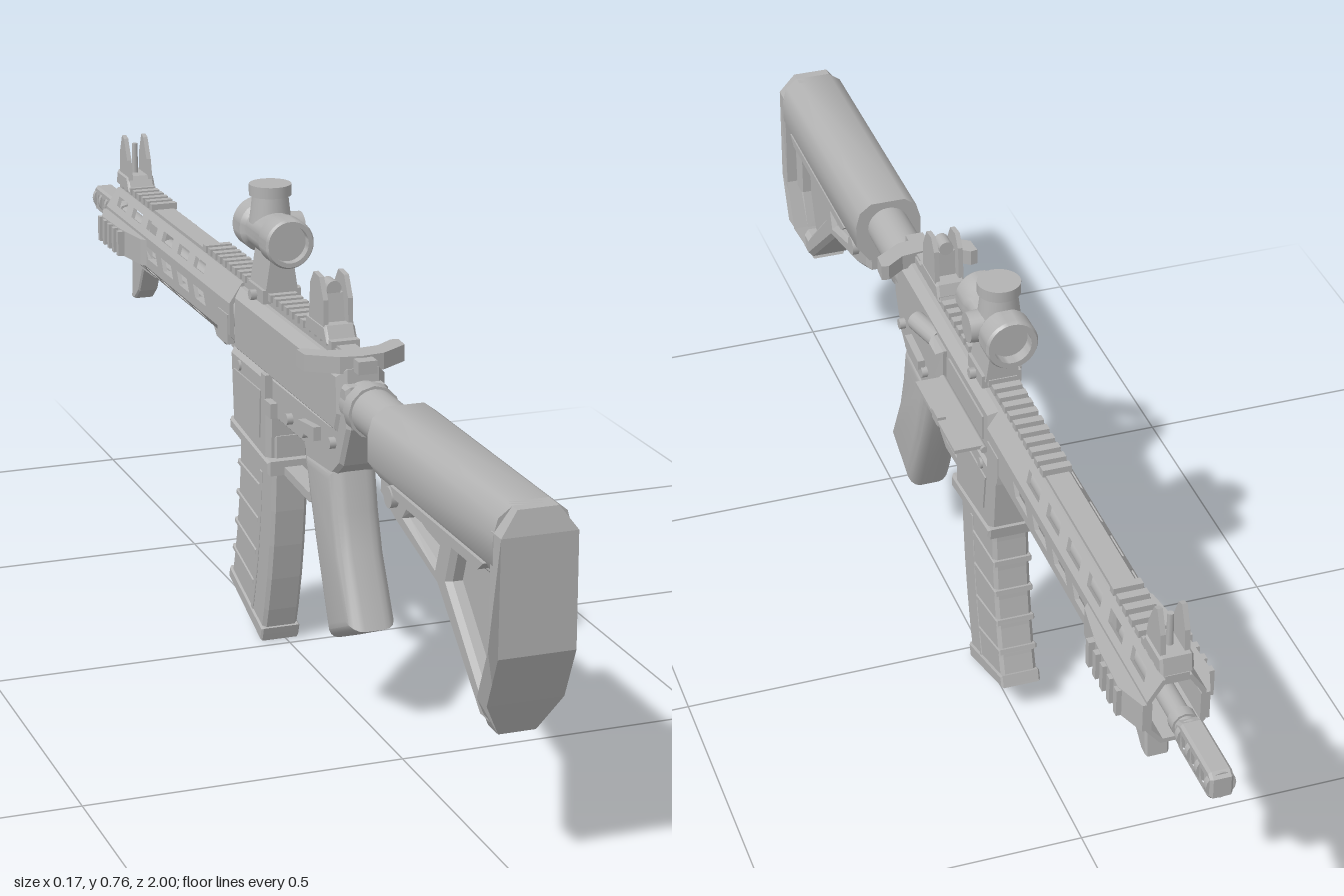
import * as THREE from 'three';
import { toCreasedNormals } from 'three/addons/utils/BufferGeometryUtils.js';

const gunGrey = new THREE.MeshStandardMaterial({ color: 0xb2b2b2 });
gunGrey.name = 'gunGrey';

const V = (p) => p.map(([a, b]) => new THREE.Vector2(a, b));
const lerp = (a, b, t) => [a[0] + (b[0] - a[0]) * t, a[1] + (b[1] - a[1]) * t];

export function createModel() {
  const root = new THREE.Group();
  root.name = 'carbine';
  const body = new THREE.Group();
  body.name = 'body';
  body.position.x = -0.01;
  root.add(body);

  const add = (name, geo, x = 0, y = 0, z = 0) => {
    const m = new THREE.Mesh(geo, gunGrey);
    m.name = name;
    m.position.set(x, y, z);
    body.add(m);
    return m;
  };
  const box = (name, w, h, d, x, y, z) => add(name, new THREE.BoxGeometry(w, h, d), x, y, z);
  const rod = (name, r1, r2, len, axis, x, y, z, sides = 20) => {
    const g = new THREE.CylinderGeometry(r1, r2, len, sides);
    if (axis === 'z') g.rotateX(Math.PI / 2);
    if (axis === 'x') g.rotateZ(-Math.PI / 2);
    return add(name, g, x, y, z);
  };
  // Side outline given as [z, y] points, extruded to a width across x
  const profile = (name, pts, width, { bevel = 0, segs = 1, holes = [], x = 0 } = {}) => {
    const s = new THREE.Shape(V(pts));
    holes.forEach((h) => s.holes.push(new THREE.Path(V(h))));
    const depth = width - 2 * bevel;
    let g = new THREE.ExtrudeGeometry(s, {
      depth, bevelEnabled: bevel > 0, bevelThickness: bevel, bevelSize: bevel, bevelOffset: -bevel, bevelSegments: segs,
    });
    g.translate(0, 0, -depth / 2);
    g.rotateY(-Math.PI / 2);
    if (segs > 1) g = toCreasedNormals(g, 0.6);
    return add(name, g, x);
  };
  // Cross-section given as [x, y] points, extruded from z0 to z1
  const section = (name, pts, z0, z1) => {
    const g = new THREE.ExtrudeGeometry(new THREE.Shape(V(pts)), { depth: z1 - z0, bevelEnabled: false });
    g.translate(0, 0, z0);
    return add(name, toCreasedNormals(g, 0.8));
  };
  // Plan outline given as [x, z] points, extruded down from a top height
  const plan = (name, pts, top, height) => {
    const g = new THREE.ExtrudeGeometry(new THREE.Shape(V(pts)), { depth: height, bevelEnabled: false });
    g.rotateX(Math.PI / 2);
    return add(name, g, 0, top, 0);
  };

  // Stock: cheek piece, skeleton strut with recessed web, and butt pad
  section('stockCheek', [[-0.03, 0.565], [-0.05, 0.55], [-0.057, 0.525], [-0.057, 0.485], [-0.035, 0.455],
    [0.035, 0.455], [0.057, 0.485], [0.057, 0.525], [0.05, 0.55], [0.03, 0.565]], 0.517, 0.975);
  profile('stockSkeleton', [[0.975, 0.5], [0.517, 0.5], [0.517, 0.435], [0.58, 0.41], [0.74, 0.37], [0.9, 0.235], [0.935, 0.235], [0.972, 0.33]],
    0.078, { bevel: 0.008, holes: [[[0.955, 0.45], [0.8, 0.445], [0.78, 0.39], [0.905, 0.275], [0.93, 0.275], [0.955, 0.34]],
      [[0.75, 0.45], [0.64, 0.45], [0.62, 0.43], [0.73, 0.4]]] });
  profile('stockWeb', [[0.96, 0.46], [0.6, 0.46], [0.75, 0.385], [0.905, 0.26], [0.935, 0.26], [0.96, 0.34]], 0.032);
  profile('stockLatch', [[0.8, 0.45], [0.57, 0.475], [0.56, 0.445], [0.66, 0.42], [0.78, 0.405]], 0.045, { bevel: 0.005 });
  rod('slingSocket', 0.016, 0.016, 0.1, 'x', 0, 0.45, 0.58);
  for (const s of [-1, 1]) {
    profile('stockRib', [[0.94, 0.475], [0.6, 0.475], [0.62, 0.46], [0.92, 0.46]], 0.02, { x: s * 0.045 });
  }
  const padRows = [[0.565, 0.992, 0.03], [0.53, 1, 0.056], [0.36, 1, 0.057], [0.28, 0.966, 0.057], [0.225, 0.94, 0.028]];
  const pad = profile('buttPad', [...padRows.map(([y, z]) => [z, y]), ...padRows.map(([y, z]) => [z - 0.034, y]).reverse()], 2);
  const pp = pad.geometry.attributes.position;
  for (let i = 0; i < pp.count; i++) {
    const row = padRows.find(([y]) => Math.abs(y - pp.getY(i)) < 0.001);
    pp.setX(i, Math.sign(pp.getX(i)) * row[2]);
  }
  pad.geometry.computeVertexNormals();

  // Stock tube with castle nut
  rod('stockTube', 0.036, 0.036, 0.22, 'z', 0, 0.517, 0.45, 28);
  rod('castleNut', 0.041, 0.041, 0.025, 'z', 0, 0.517, 0.385, 12);

  // Receivers
  profile('upperReceiver', [[0.35, 0.572], [-0.14, 0.572], [-0.14, 0.462], [0.34, 0.462], [0.355, 0.5]], 0.078, { bevel: 0.014 });
  profile('lowerReceiver', [[0.37, 0.55], [0.375, 0.485], [0.345, 0.42], [0.3, 0.385], [0.2, 0.385], [0.185, 0.405], [0.02, 0.405],
    [-0.02, 0.47], [0.3, 0.475], [0.345, 0.55]], 0.068, { bevel: 0.006 });
  profile('magazineWell', [[0.035, 0.47], [0.03, 0.325], [-0.138, 0.345], [-0.15, 0.47]], 0.08, { bevel: 0.008 });
  profile('magazineWellLip', [[0.045, 0.332], [0.045, 0.308], [-0.143, 0.332], [-0.146, 0.352]], 0.086, { bevel: 0.004 });
  profile('magazineWellRelief', [[0.005, 0.44], [0, 0.36], [-0.115, 0.375], [-0.125, 0.44]], 0.085);
  profile('triggerGuard', [[0.205, 0.39], [0.19, 0.315], [0.16, 0.3], [0.03, 0.308], [0.03, 0.322], [0.155, 0.315], [0.178, 0.325], [0.185, 0.39]], 0.03);
  profile('trigger', [[0.145, 0.41], [0.12, 0.41], [0.122, 0.36], [0.138, 0.325], [0.143, 0.33], [0.134, 0.365]], 0.014);
  for (const [z, y] of [[0.32, 0.45], [0.2, 0.43], [0.13, 0.43], [-0.1, 0.452]]) rod('receiverPin', 0.009, 0.009, 0.088, 'x', 0, y, z, 12);
  for (const s of [-1, 1]) {
    profile('selectorLever', [[0.27, 0.46], [0.2, 0.452], [0.2, 0.436], [0.27, 0.438]], 0.012, { x: s * 0.043 });
    box('magazineRelease', 0.012, 0.024, 0.03, s * 0.042, 0.425, 0.055);
    box('boltCatch', 0.012, 0.04, 0.02, s * 0.04, 0.455, 0.03);
  }

  // Ejection side: bolt, open dust cover, case deflector and forward assist
  box('boltCarrier', 0.006, 0.042, 0.17, 0.039, 0.525, -0.025);
  box('dustCover', 0.046, 0.006, 0.2, 0.069, 0.5, -0.025);
  box('dustCoverLatch', 0.014, 0.016, 0.03, 0.085, 0.5, -0.025);
  rod('dustCoverHinge', 0.006, 0.006, 0.21, 'z', 0.045, 0.497, -0.025, 8);
  profile('caseDeflector', [[0.13, 0.55], [0.075, 0.55], [0.08, 0.49], [0.11, 0.49]], 0.03, { bevel: 0.01, x: 0.04 });
  const assist = rod('forwardAssist', 0.016, 0.016, 0.07, 'z', 0.044, 0.538, 0.16, 14);
  assist.rotation.y = 0.25;

  // Charging handle with swept wings
  box('chargingHandle', 0.03, 0.02, 0.1, 0, 0.578, 0.32);
  plan('chargingWings', [[0, 0.35], [0.035, 0.345], [0.08, 0.315], [0.082, 0.285], [0.07, 0.283], [0.04, 0.305], [0, 0.31],
    [-0.04, 0.305], [-0.07, 0.283], [-0.082, 0.285], [-0.08, 0.315], [-0.035, 0.345]], 0.591, 0.026);

  // Grip
  profile('pistolGrip', [[0.32, 0.41], [0.19, 0.4], [0.205, 0.345], [0.235, 0.27], [0.3, 0.126], [0.41, 0.175], [0.355, 0.28], [0.335, 0.34]],
    0.076, { bevel: 0.022, segs: 4 });

  // Curved magazine with raised ribs and floor plate
  const curve = (a, b, c) => (t) => lerp(lerp(a, b, t), lerp(b, c, t), t);
  const front = curve([-0.132, 0.37], [-0.134, 0.2], [-0.183, 0.058]);
  const rear = curve([0.038, 0.37], [0.038, 0.17], [-0.022, 0.001]);
  const strip = (name, t0, t1, u0, u1, width, bevel) => {
    const at = (t, u) => lerp(front(t), rear(t), u);
    const n = 6, pts = [];
    for (let i = 0; i <= n; i++) pts.push(at(t0 + ((t1 - t0) * i) / n, u0));
    for (let i = n; i >= 0; i--) pts.push(at(t0 + ((t1 - t0) * i) / n, u1));
    profile(name, pts, width, { bevel });
  };
  strip('magazine', 0, 1, 0.02, 0.98, 0.06, 0.006);
  for (let i = 0; i < 4; i++) strip('magazineRib', 0.27 + i * 0.17, 0.3 + i * 0.17, -0.01, 0.62, 0.064, 0.002);
  strip('magazineSpine', 0.2, 0.94, 0.62, 0.68, 0.063, 0.001);
  strip('magazineFloor', 0.93, 1, -0.01, 1, 0.066, 0.003);

  // Handguard: eight slotted panels around the barrel
  const ring = [[0.022, 0.466], [0.044, 0.492], [0.044, 0.545], [0.022, 0.578], [-0.022, 0.578], [-0.044, 0.545], [-0.044, 0.492], [-0.022, 0.466]];
  ring.forEach((a, i) => {
    const b = ring[(i + 1) % 8];
    const w = Math.hypot(b[0] - a[0], b[1] - a[1]);
    const s = new THREE.Shape(V([[-0.83, 0], [-0.14, 0], [-0.14, w], [-0.83, w]]));
    if (i !== 3) for (let k = 0; k < 6; k++) {
      const z = -0.8 + k * 0.088 + (i % 2) * 0.03;
      s.holes.push(new THREE.Path(V([[z, w * 0.3], [z + 0.055, w * 0.3], [z + 0.068, w * 0.7], [z + 0.013, w * 0.7]])));
    }
    const g = new THREE.ExtrudeGeometry(s, { depth: 0.007, bevelEnabled: false });
    const e = new THREE.Vector3((b[0] - a[0]) / w, (b[1] - a[1]) / w, 0);
    const zAxis = new THREE.Vector3(0, 0, 1);
    g.applyMatrix4(new THREE.Matrix4().makeBasis(zAxis, e, zAxis.clone().cross(e)).setPosition(a[0], a[1], 0));
    add('handguardPanel', g);
  });
  rod('barrelNut', 0.034, 0.034, 0.1, 'z', 0, 0.52, -0.18, 24);
  rod('barrel', 0.016, 0.016, 0.74, 'z', 0, 0.52, -0.5);
  rod('gasTube', 0.006, 0.006, 0.5, 'z', 0, 0.556, -0.4, 8);
  box('gasBlock', 0.04, 0.05, 0.05, 0, 0.532, -0.62);

  // Top rail
  box('railBase', 0.036, 0.014, 1.16, 0, 0.577, -0.25);
  for (let z = 0.27; z > -0.83; z -= 0.025) {
    if (z > -0.34 || z < -0.63) box('railTooth', 0.046, 0.012, 0.014, 0, 0.588, z);
  }

  // Tapered side grip panels, clamps, lower rail and hand stop
  for (const s of [-1, 1]) {
    plan('sidePanel', [[0.036, -0.58], [0.052, -0.6], [0.064, -0.68], [0.068, -0.78], [0.05, -0.83], [0.036, -0.83]].map(([x, z]) => [s * x, z]), 0.54, 0.046);
    for (let k = 0; k < 5; k++) box('sidePanelRidge', 0.014, 0.044, 0.012, s * 0.066, 0.517, -0.67 - k * 0.028);
    box('handguardClamp', 0.012, 0.05, 0.05, s * 0.04, 0.5, -0.17);
  }
  profile('lowerRail', [[-0.16, 0.47], [-0.17, 0.45], [-0.2, 0.45], [-0.21, 0.457], [-0.24, 0.445], [-0.28, 0.447], [-0.3, 0.47]], 0.04, { bevel: 0.004 });
  profile('handStop', [[-0.6, 0.47], [-0.62, 0.458], [-0.7, 0.455], [-0.725, 0.41], [-0.75, 0.39], [-0.768, 0.388], [-0.762, 0.455], [-0.82, 0.46], [-0.825, 0.47]],
    0.036, { bevel: 0.003 });

  // Muzzle brake with side ports and round fins
  rod('muzzleNeck', 0.014, 0.014, 0.05, 'z', 0, 0.52, -0.86, 16);
  rod('muzzleCollar', 0.02, 0.02, 0.018, 'z', 0, 0.52, -0.855, 12);
  profile('muzzleBrake', [[-0.868, 0.535], [-0.868, 0.505], [-0.885, 0.497], [-0.99, 0.497], [-1, 0.504], [-1, 0.536], [-0.99, 0.543], [-0.885, 0.543]],
    0.034, { bevel: 0.004, holes: [-0.9, -0.935, -0.97].map((z) => [[z + 0.008, 0.508], [z - 0.013, 0.508], [z - 0.008, 0.533], [z + 0.013, 0.533]]) });
  for (const z of [-0.883, -0.919, -0.954, -0.99]) rod('brakeFin', 0.022, 0.022, 0.01, 'z', 0, 0.52, z, 16);

  // Folding sights
  profile('rearSightBase', [[0.265, 0.585], [0.16, 0.585], [0.17, 0.612], [0.25, 0.612]], 0.05, { bevel: 0.004 });
  profile('rearSightLeaf', [[0.235, 0.6], [0.195, 0.6], [0.198, 0.655], [0.225, 0.655]], 0.03);
  rod('rearAperture', 0.012, 0.012, 0.03, 'z', 0, 0.662, 0.21, 14);
  profile('frontSightBase', [[-0.75, 0.585], [-0.83, 0.585], [-0.825, 0.612], [-0.765, 0.612]], 0.05, { bevel: 0.004 });
  rod('frontSightPost', 0.005, 0.006, 0.06, 'y', 0, 0.635, -0.795, 8);
  for (const s of [-1, 1]) {
    profile('rearSightEar', [[0.245, 0.6], [0.18, 0.6], [0.185, 0.665], [0.2, 0.685], [0.225, 0.682], [0.243, 0.65]], 0.008, { x: s * 0.02 });
    profile('frontSightEar', [[-0.76, 0.6], [-0.818, 0.6], [-0.815, 0.645], [-0.8, 0.68], [-0.788, 0.676], [-0.77, 0.64]], 0.008, { x: s * 0.018 });
  }

  // Optic: hollow tube, lenses, turrets and mount
  const tube = new THREE.LatheGeometry(V([[0.03, -0.085], [0.039, -0.085], [0.042, -0.08], [0.042, -0.045], [0.036, -0.035], [0.036, 0.03],
    [0.04, 0.04], [0.04, 0.075], [0.037, 0.08], [0.03, 0.08], [0.03, -0.085]]), 32);
  tube.rotateX(Math.PI / 2);
  add('opticTube', toCreasedNormals(tube, 0.5), 0, 0.682, -0.048);
  rod('opticLens', 0.031, 0.031, 0.13, 'z', 0, 0.682, -0.048, 28);
  rod('turretNeck', 0.028, 0.034, 0.05, 'y', 0, 0.722, -0.065, 24);
  rod('turretCap', 0.034, 0.034, 0.018, 'y', 0, 0.75, -0.065, 24);
  rod('sideTurret', 0.024, 0.026, 0.03, 'x', 0.037, 0.685, -0.065, 24);
  section('opticMount', [[-0.028, 0.59], [0.028, 0.59], [0.018, 0.655], [-0.018, 0.655]], -0.085, -0.01);
  box('opticClamp', 0.064, 0.022, 0.07, 0, 0.588, -0.045);
  rod('clampBolt', 0.009, 0.009, 0.084, 'x', 0, 0.585, -0.045, 6);

  return root;
}
